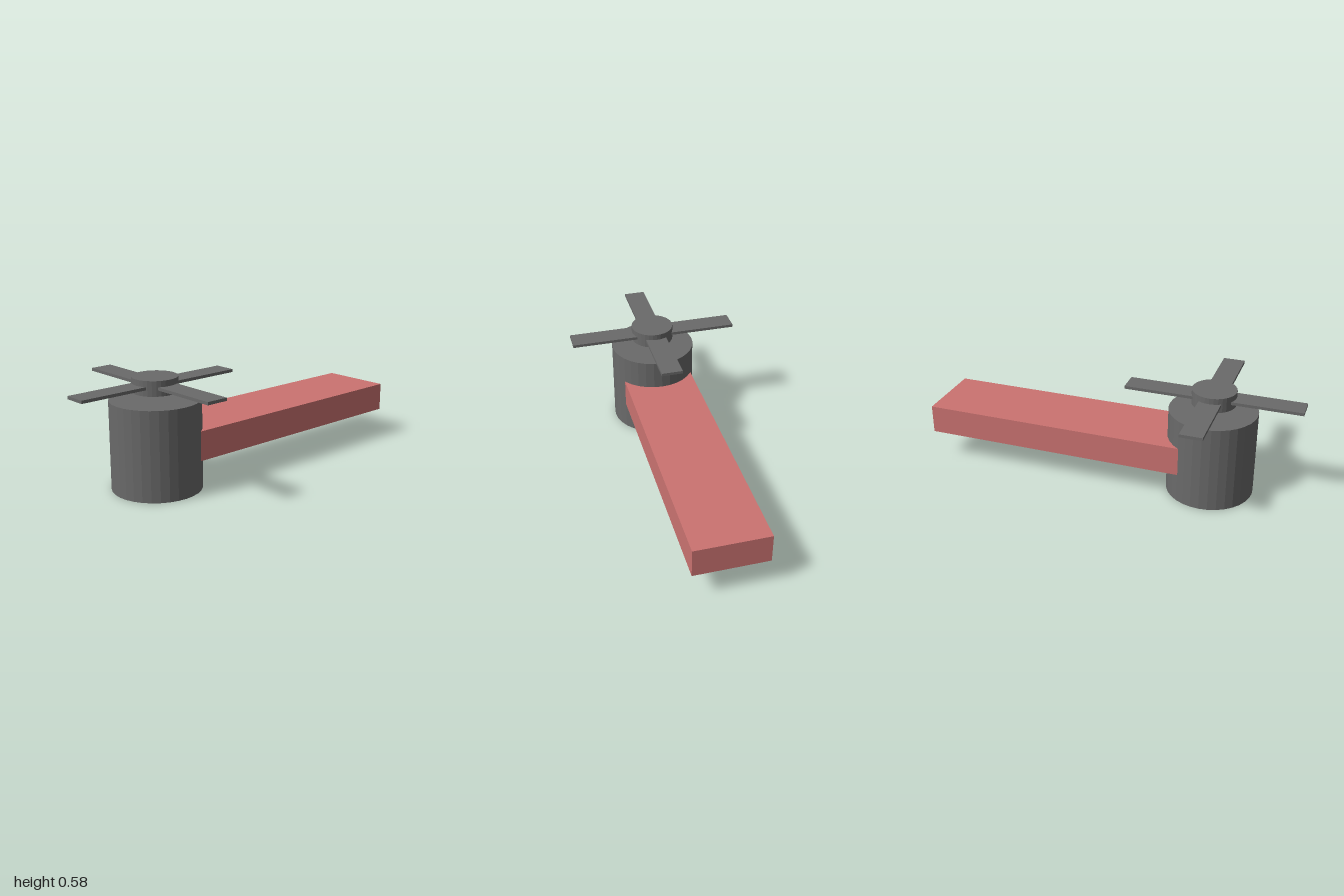
import * as THREE from 'three';

const U = 1 / 13; // one design unit

export function createModel() {
  const model = new THREE.Group();
  model.name = 'rotorArm';

  const grey = new THREE.MeshStandardMaterial({ color: 0x6a6a6a, flatShading: true });
  grey.name = 'dark grey';
  const red = new THREE.MeshStandardMaterial({ color: 0xcb7371, flatShading: true });
  red.name = 'soft red';

  const add = (parent, name, geometry, material, x, y, z) => {
    const mesh = new THREE.Mesh(geometry, material);
    mesh.name = name;
    mesh.position.set(x * U, y * U, z * U);
    parent.add(mesh);
    return mesh;
  };
  const box = (w, h, d) => new THREE.BoxGeometry(w * U, h * U, d * U);
  const drum = (r, h) => new THREE.CylinderGeometry(r * U, r * U, h * U, 32);

  // Motor housing and the arm that runs out from its middle
  add(model, 'motor', drum(3, 6), grey, -7, 3, 0);
  add(model, 'arm', box(20, 2, 5), red, 3, 3, 0);

  // Propeller floating just above the motor
  const propeller = new THREE.Group();
  propeller.name = 'propeller';
  propeller.position.set(-7 * U, 7 * U, 0);
  model.add(propeller);
  add(propeller, 'hub', drum(1.5, 1), grey, 0, 0, 0);

  // Four flat blades, a quarter turn apart
  for (let i = 0; i < 4; i++) {
    const a = (i * Math.PI) / 2;
    const blade = add(propeller, 'blade', box(5, 0.2, 1.5), grey, 3.5 * Math.cos(a), 0, -3.5 * Math.sin(a));
    blade.rotation.y = a;
  }

  return model;
}
